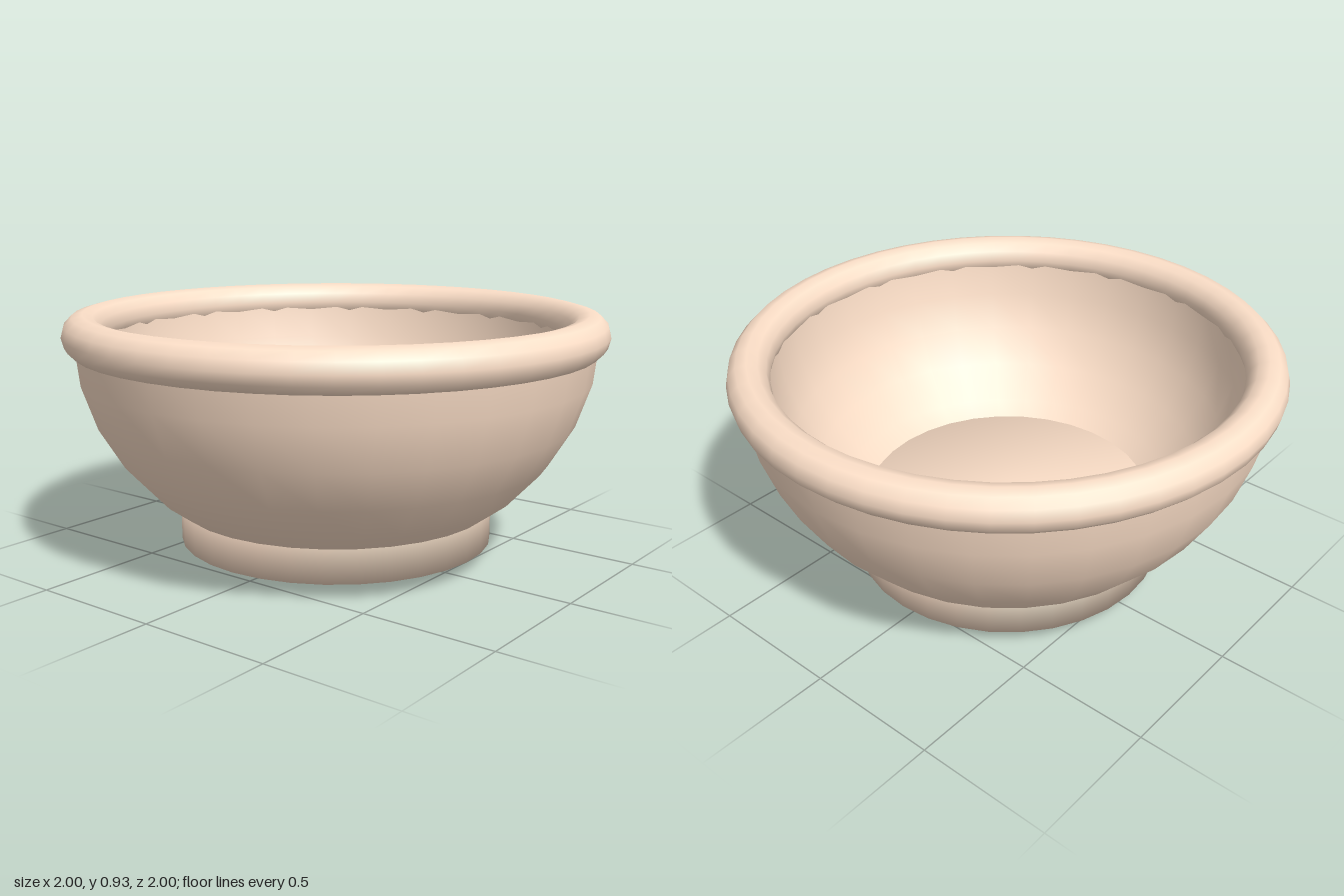
import * as THREE from 'three';
import { mergeVertices } from 'three/addons/utils/BufferGeometryUtils.js';

const SEGMENTS = 32;
const RIM_Y = 0.849;

// Quarter-ellipse profile from the bottom centre up to the rim height
function bowlProfile(radius, depth, steps = 8) {
  const points = [];
  for (let i = 0; i <= steps; i++) {
    const a = (i / steps) * Math.PI / 2;
    points.push(new THREE.Vector2(radius * Math.sin(a), RIM_Y - depth * Math.cos(a)));
  }
  return points;
}

export function createModel() {
  const model = new THREE.Group();
  model.name = 'bowl';
  const clay = new THREE.MeshStandardMaterial({ color: 0xfcdfc8 });

  function add(name, geometry, y = 0) {
    const mesh = new THREE.Mesh(geometry, clay);
    mesh.name = name;
    mesh.position.y = y;
    model.add(mesh);
  }

  // Outer and inner walls, both ending inside the rim
  add('bowlOuterWall', new THREE.LatheGeometry(bowlProfile(0.962, RIM_Y), SEGMENTS));
  add('bowlInnerWall', new THREE.LatheGeometry(bowlProfile(0.86, 0.755).reverse(), SEGMENTS));

  // Rolled rim
  const rim = new THREE.TorusGeometry(0.924, 0.076, 12, 48);
  rim.rotateX(Math.PI / 2);
  add('rim', rim, RIM_Y);

  // Round foot with softly shaded edges; its top forms the flat floor inside
  let foot = new THREE.CylinderGeometry(0.59, 0.59, 0.209, SEGMENTS);
  foot.deleteAttribute('normal');
  foot.deleteAttribute('uv');
  foot = mergeVertices(foot);
  foot.computeVertexNormals();
  add('foot', foot, 0.1625);

  return model;
}
